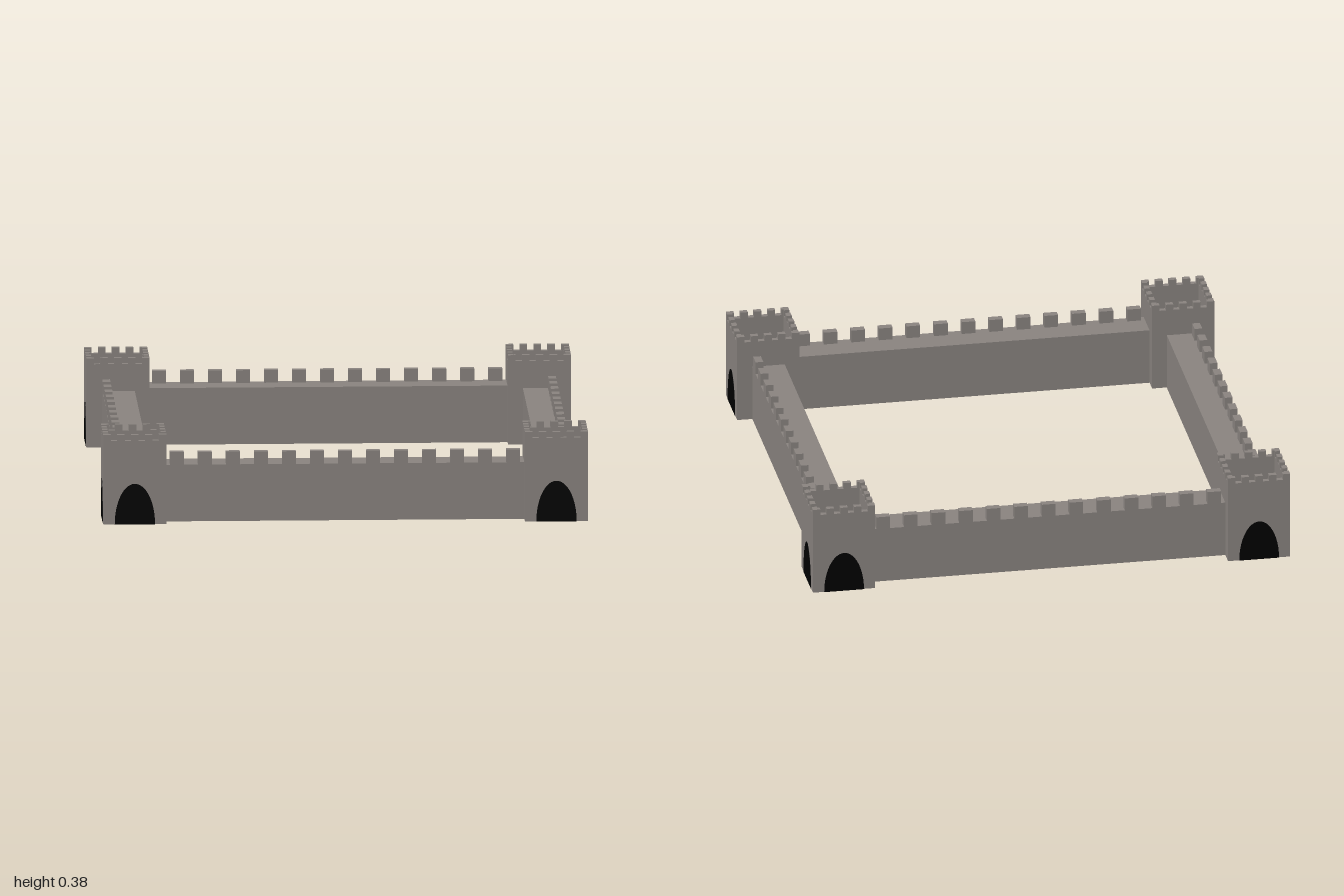
import * as THREE from 'three';

const stone = new THREE.MeshStandardMaterial({ color: 0x8a8480 });
stone.name = 'stone';
const black = new THREE.MeshStandardMaterial({ color: 0x000000 });
black.name = 'gateBlack';

const SIZE = 0.26, HALF = SIZE / 2, RIM = 0.022; // tower plan and wall thickness
const RIM_TOP = 0.35, TOWER_TOP = 0.375;
const CENTRE = 0.868;
const WALL_TOP = 0.237, WALL_IN = 0.799, WALL_OUT = 0.934, SKIN = 0.004;

// Box given by its bottom height and top height
function block(parent, name, w, d, y0, y1, x = 0, z = 0) {
  const mesh = new THREE.Mesh(new THREE.BoxGeometry(w, y1 - y0, d), stone);
  mesh.name = name;
  mesh.position.set(x, (y0 + y1) / 2, z);
  parent.add(mesh);
}

// Half-ellipse gateway filling the thickness of the tower wall
function archGeometry(halfWidth) {
  const shape = new THREE.Shape();
  shape.moveTo(halfWidth, 0);
  shape.absellipse(0, 0, halfWidth, 0.17, 0, Math.PI, false, 0);
  shape.closePath();
  return new THREE.ExtrudeGeometry(shape, { depth: RIM - 0.001, bevelEnabled: false, curveSegments: 24 });
}

// Hollow square tower; sides 0 and 1 face outwards, 2 and 3 meet the curtain walls
function createTower(outerArch, innerArch) {
  const tower = new THREE.Group();
  tower.name = 'tower';
  block(tower, 'towerFloor', SIZE - 2 * RIM, SIZE - 2 * RIM, 0.001, 0.01);
  for (let i = 0; i < 4; i++) {
    const side = new THREE.Group();
    side.name = 'towerSide';
    side.rotation.y = i * Math.PI / 2;
    tower.add(side);
    // Each side stops short of the next one at the corner
    block(side, 'towerWall', SIZE - RIM, RIM, 0.001, RIM_TOP, -RIM / 2, HALF - RIM / 2);
    // Small merlons, with one on each corner
    const w = 0.031, pitch = (SIZE - w) / 4;
    for (let k = 0; k < 5; k++) {
      block(side, 'towerMerlon', w, RIM, RIM_TOP, TOWER_TOP, (k - 2) * pitch, HALF - RIM / 2);
    }
    const gate = new THREE.Mesh(i < 2 ? outerArch : innerArch, black);
    gate.name = 'gateway';
    gate.position.z = HALF - RIM + 0.002;
    side.add(gate);
  }
  return tower;
}

// Curtain wall along the front edge: open underneath, merlons on its outer side
function createWall() {
  const wall = new THREE.Group();
  wall.name = 'curtainWall';
  const length = 2 * (CENTRE - HALF);
  block(wall, 'wallOuterFace', length, SKIN, 0, WALL_TOP, 0, WALL_OUT - SKIN / 2);
  block(wall, 'wallInnerFace', length, SKIN, 0, WALL_TOP, 0, WALL_IN + SKIN / 2);
  block(wall, 'wallWalk', length, WALL_OUT - WALL_IN - 2 * SKIN, WALL_TOP - SKIN, WALL_TOP,
    0, (WALL_IN + WALL_OUT) / 2);
  for (let k = -6; k <= 6; k++) {
    block(wall, 'wallMerlon', 0.057, 0.032, WALL_TOP, 0.29, k * 0.1154, WALL_OUT - 0.016);
  }
  return wall;
}

export function createModel() {
  const castle = new THREE.Group();
  castle.name = 'castleWalls';
  const outerArch = archGeometry(0.083);
  const innerArch = archGeometry(0.063);
  for (let i = 0; i < 4; i++) {
    const quarter = new THREE.Group();
    quarter.name = 'fortSide';
    quarter.rotation.y = i * Math.PI / 2;
    const tower = createTower(outerArch, innerArch);
    tower.position.set(CENTRE, 0, CENTRE);
    quarter.add(tower, createWall());
    castle.add(quarter);
  }
  return castle;
}
